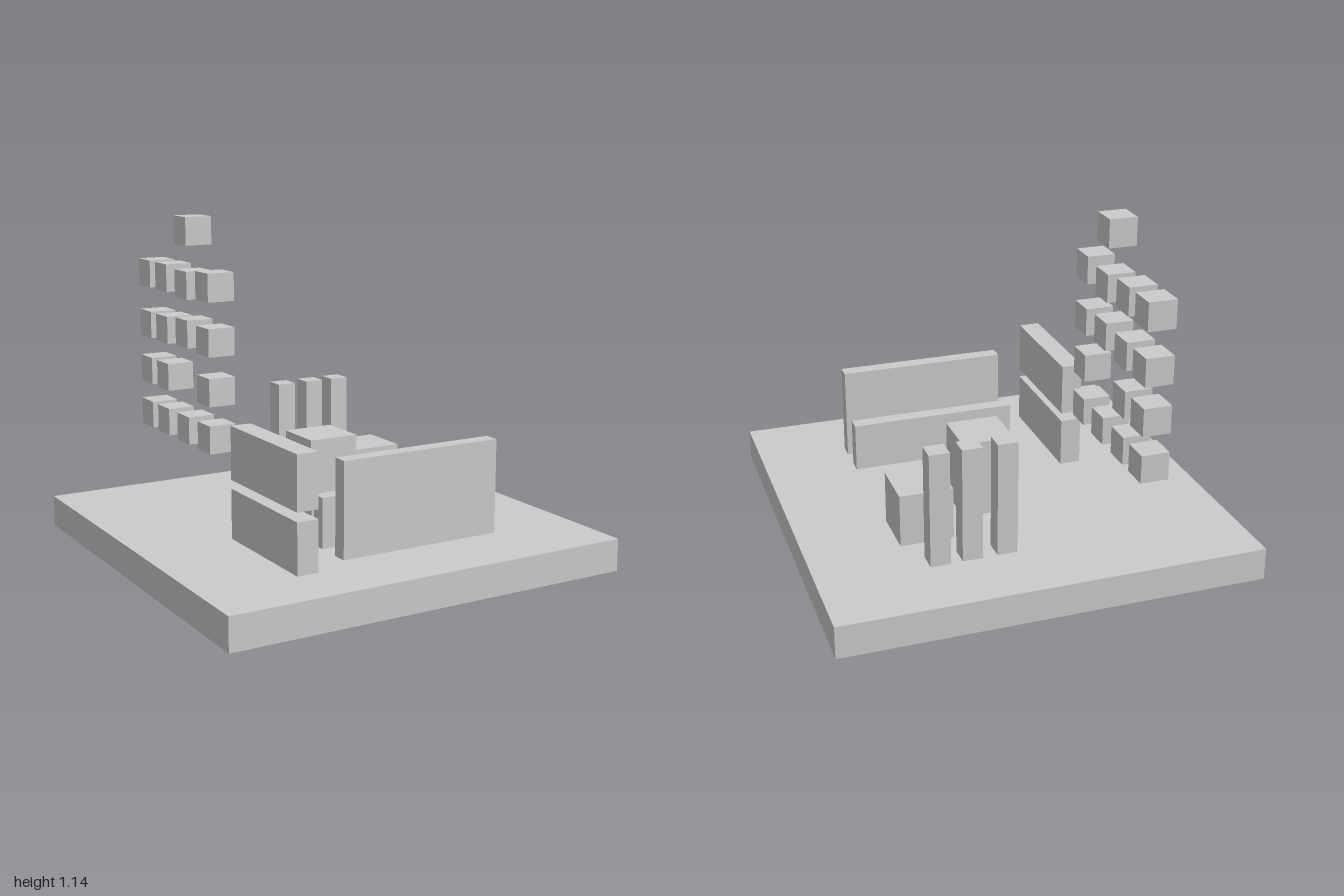
import * as THREE from 'three';

const TURN = Math.atan2(0.87, 1.13); // every block shares the slab's heading

export function createModel() {
  const model = new THREE.Group();
  model.name = 'blockCourse';
  const material = new THREE.MeshStandardMaterial({ color: 0xcccccc, flatShading: true });

  // A turned box centred at (x, z), spanning bottom to top
  function block(name, x, z, width, depth, bottom, top) {
    const mesh = new THREE.Mesh(new THREE.BoxGeometry(width, top - bottom, depth), material);
    mesh.name = name;
    mesh.position.set(x, (bottom + top) / 2, z);
    mesh.rotation.y = TURN;
    model.add(mesh);
  }

  const floor = 0.11;
  block('baseSlab', 0, 0, 1.426, 1.426, 0, floor);

  // Two parallel walls, the outer one taller
  block('innerWall', 0.267, 0.167, 0.585, 0.052, floor, 0.28);
  block('outerWall', 0.348, 0.271, 0.585, 0.052, floor, 0.43);

  // Side panel in two tiers with a gap between
  block('lowerPanel', -0.094, 0.446, 0.073, 0.44, floor, 0.28);
  block('upperPanel', -0.094, 0.446, 0.073, 0.44, 0.31, 0.49);

  // Two square pedestals
  block('lowPedestal', 0.108, -0.369, 0.181, 0.181, floor, 0.29);
  block('tallPedestal', -0.017, -0.118, 0.181, 0.181, floor, 0.38);

  // Row of three slim posts
  for (const [x, z] of [[-0.197, -0.4], [-0.105, -0.473], [-0.021, -0.54]]) {
    block('post', x, z, 0.068, 0.068, floor, 0.5);
  }

  // Floating cubes: four columns, each with the bottoms of its cubes
  const size = 0.095;
  const columns = [
    [-0.623, -0.238, [0.367, 0.527, 0.693, 0.875]],
    [-0.537, -0.126, [0.367, 0.527, 0.693, 0.875]],
    [-0.438, -0.001, [0.367, 0.7, 0.865, 1.047]],
    [-0.338, 0.128, [0.367, 0.527, 0.693, 0.875]],
  ];
  for (const [x, z, bottoms] of columns) {
    for (const y of bottoms) block('floatingCube', x, z, size, size, y, y + size);
  }
  return model;
}
